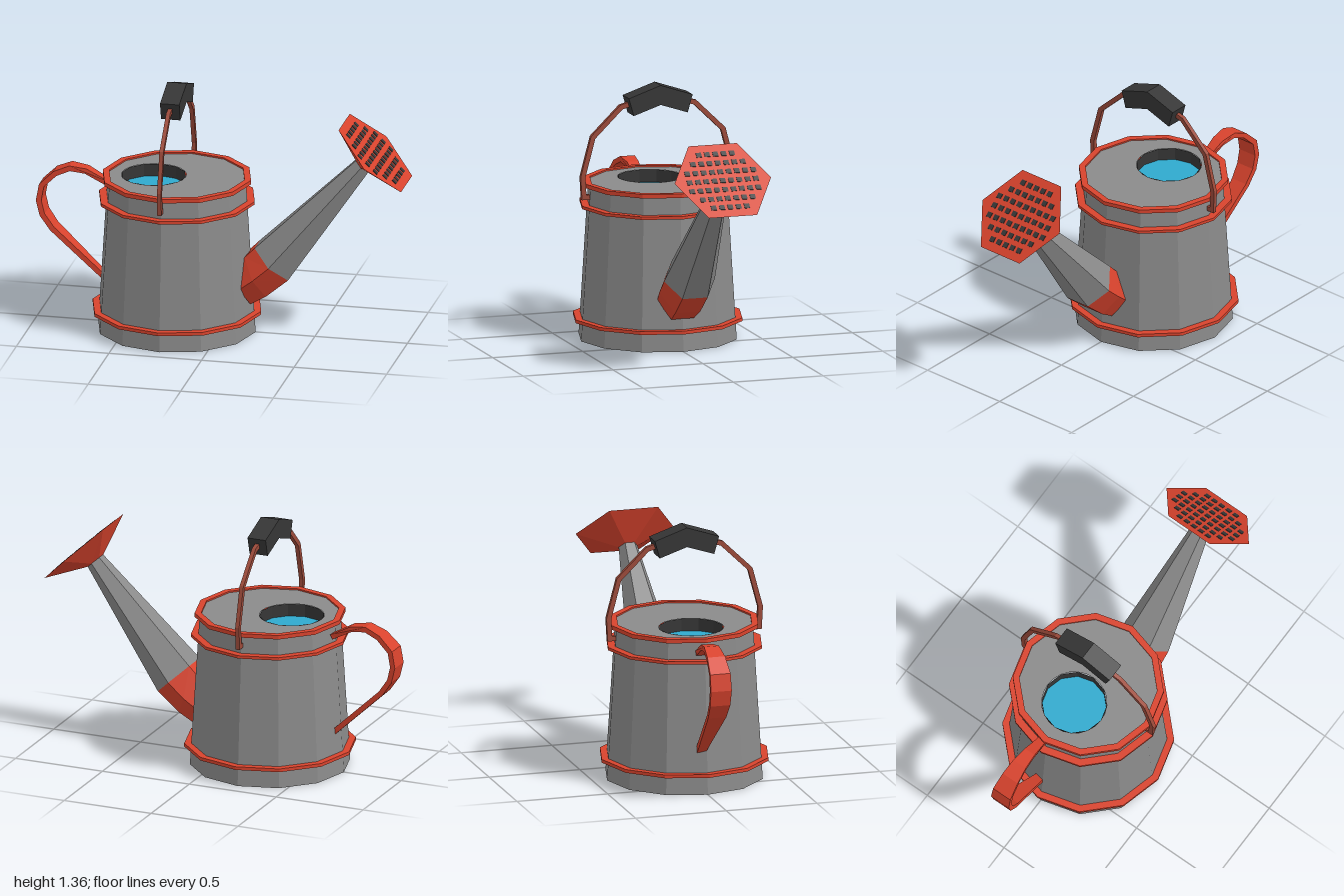
import * as THREE from 'three';

const paint = (color, side = THREE.FrontSide) =>
  new THREE.MeshStandardMaterial({ color, side, flatShading: true });
const V = (x, y) => new THREE.Vector2(x, y);

const SIDES = 12;
const AXIS_X = -0.245; // vertical axis of the can

// Flat bar of even thickness following a 2D path with mitred corners, centred on z = 0
function ribbon(path, thickness, width) {
  const left = [], right = [];
  path.forEach((p, i) => {
    const a = path[Math.max(i - 1, 0)], b = path[Math.min(i + 1, path.length - 1)];
    const d1 = (i ? p.clone().sub(a) : b.clone().sub(p)).normalize();
    const d2 = (i < path.length - 1 ? b.clone().sub(p) : d1.clone()).normalize();
    const n = V(-d1.y - d2.y, d1.x + d2.x).normalize();
    const h = thickness / 2 / Math.max(0.5, n.dot(V(-d1.y, d1.x)));
    left.push(p.clone().addScaledVector(n, h));
    right.unshift(p.clone().addScaledVector(n, -h));
  });
  const shape = new THREE.Shape([...left, ...right]);
  return new THREE.ExtrudeGeometry(shape, { depth: width, bevelEnabled: false })
    .translate(0, 0, -width / 2);
}

// Hexagonal skin through sections given by their upper and lower points in the xy plane
function hexLoft(sections) {
  const pos = [], index = [];
  sections.forEach(([ux, uy, lx, ly]) => {
    const half = Math.hypot(ux - lx, uy - ly) / 2;
    const radius = half / Math.sin(Math.PI / 3);
    for (let k = 0; k < 6; k++) {
      const a = (k * Math.PI) / 3;
      const s = Math.sin(a) * radius / half / 2;
      pos.push((ux + lx) / 2 + (ux - lx) * s, (uy + ly) / 2 + (uy - ly) * s, Math.cos(a) * radius);
    }
  });
  for (let r = 0; r < sections.length - 1; r++) {
    for (let k = 0; k < 6; k++) {
      const a = r * 6 + k, b = r * 6 + ((k + 1) % 6);
      index.push(a, a + 6, b, b, a + 6, b + 6);
    }
  }
  const g = new THREE.BufferGeometry();
  g.setAttribute('position', new THREE.Float32BufferAttribute(pos, 3));
  g.setIndex(index);
  g.computeVertexNormals();
  return g;
}

export function createModel() {
  const model = new THREE.Group();
  model.name = 'wateringCan';
  const grey = paint(0x8a8a8a), red = paint(0xd8432d), dark = paint(0x363636);
  const greyOpen = paint(0x8a8a8a, THREE.DoubleSide), redOpen = paint(0xd8432d, THREE.DoubleSide);
  const copper = paint(0x9c4a3a), blue = paint(0x2fa9cd);

  const add = (name, geometry, material, parent = model) => {
    const mesh = new THREE.Mesh(geometry, material);
    mesh.name = name;
    parent.add(mesh);
    return mesh;
  };

  // Can: wall, base, hoops and lid share one axis
  const can = new THREE.Group();
  can.name = 'can';
  can.position.x = AXIS_X;
  model.add(can);
  add('wall', new THREE.LatheGeometry([V(0.425, 0), V(0.373, 0.835)], SIDES), greyOpen, can);
  add('base', new THREE.CircleGeometry(0.425, SIDES).rotateX(Math.PI / 2), red, can);

  const hoop = (name, y0, y1, inner, outer) =>
    add(name, new THREE.LatheGeometry(
      [V(outer, y0), V(outer, y1), V(inner, y1), V(inner, y0), V(outer, y0)], SIDES), red, can);
  hoop('lowerHoop', 0.1, 0.118, 0.41, 0.455);
  hoop('upperHoop', 0.712, 0.728, 0.375, 0.42);
  hoop('rim', 0.823, 0.845, 0.365, 0.4);

  // Lid with filling hole, its dark wall and the water below
  const HOLE_X = -0.125, HOLE_R = 0.172;
  const lid = new THREE.Shape().absarc(0, 0, 0.373, 0, Math.PI * 2);
  lid.holes.push(new THREE.Path().absarc(HOLE_X, 0, HOLE_R, 0, Math.PI * 2, true));
  add('lid', new THREE.ShapeGeometry(lid, SIDES).rotateX(-Math.PI / 2), greyOpen, can)
    .position.y = 0.837;
  add('holeWall', new THREE.CylinderGeometry(HOLE_R, HOLE_R, 0.07, SIDES, 1, true),
    paint(0x363636, THREE.DoubleSide), can).position.set(HOLE_X, 0.802, 0);
  add('water', new THREE.CircleGeometry(HOLE_R, SIDES).rotateX(-Math.PI / 2), blue, can)
    .position.set(HOLE_X, 0.77, 0);

  // Swinging handle over the top, with a bent grip
  const half = [V(0.38, 0.775), V(0.412, 0.775), V(0.418, 0.885),
    V(0.362, 1.095), V(0.205, 1.248), V(0.14, 1.265)];
  const arch = [...half, V(0, 1.3), ...half.map((p) => V(-p.x, p.y)).reverse()];
  add('carryHandle', ribbon(arch, 0.026, 0.022).rotateY(-Math.PI / 2), copper, can);
  const gripShape = new THREE.Shape([V(0.15, 1.205), V(0.177, 1.3), V(0, 1.36),
    V(-0.177, 1.3), V(-0.15, 1.205), V(0, 1.255)]);
  add('grip', new THREE.ExtrudeGeometry(gripShape, { depth: 0.104, bevelEnabled: false })
    .translate(0, 0, -0.052).rotateY(-Math.PI / 2), dark, can);

  // Back handle, a strap that widens away from the can
  const strap = ribbon([V(-0.62, 0.765), V(-0.645, 0.778), V(-0.737, 0.828), V(-0.822, 0.84),
    V(-0.9, 0.807), V(-0.971, 0.738), V(-0.986, 0.655), V(-0.967, 0.576),
    V(-0.915, 0.5), V(-0.635, 0.237)], 0.028, 1);
  const p = strap.attributes.position;
  for (let i = 0; i < p.count; i++) {
    const t = THREE.MathUtils.clamp((-0.65 - p.getX(i)) / 0.35, 0, 1);
    p.setZ(i, p.getZ(i) * THREE.MathUtils.lerp(0.048, 0.115, t) - 0.027);
  }
  add('backHandle', strap, red);

  // Spout: red socket, tapering grey pipe and flared rose
  const socketTop = [0.19, 0.492, 0.37, 0.326];
  const pipeTop = [0.727, 1.008, 0.793, 0.947];
  const roseRim = [0.658, 1.21, 0.995, 0.89];
  add('spoutSocket', hexLoft([[0.07, 0.37, 0.165, 0.175], [0.135, 0.437, 0.25, 0.226], socketTop]), redOpen);
  add('spoutPipe', hexLoft([socketTop, pipeTop]), grey);
  add('roseCone', hexLoft([pipeTop, roseRim]), redOpen);

  // Rose face with rows of sprinkling holes
  const rose = new THREE.Group();
  rose.name = 'rose';
  rose.position.set(0.8265, 1.05, 0);
  rose.rotation.z = Math.atan2(0.337, 0.32); // local x points out of the face
  rose.rotation.z = Math.PI / 2 - Math.atan2(0.32, 0.337);
  model.add(rose);
  add('roseFace', new THREE.CircleGeometry(0.268, 6).rotateY(Math.PI / 2), red, rose);
  const holeGeometry = new THREE.BoxGeometry(0.006, 0.029, 0.029);
  [5, 7, 9, 9, 9, 7, 5].forEach((count, row) => {
    for (let i = 0; i < count; i++) {
      add('sprinkleHole', holeGeometry, dark, rose)
        .position.set(0, (3 - row) * 0.057, (i - (count - 1) / 2) * 0.046);
    }
  });

  return model;
}
